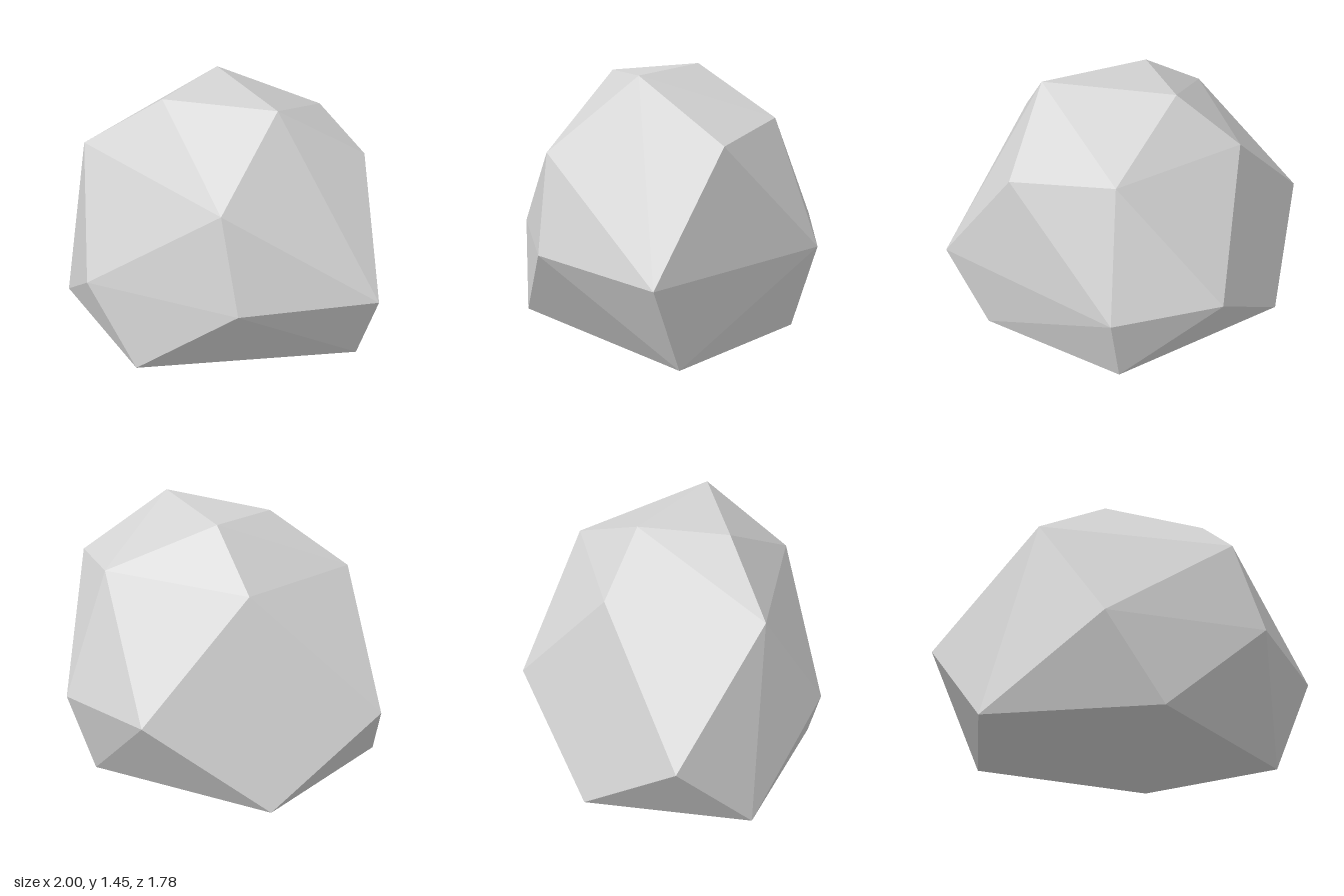
import * as THREE from 'three';
import { ConvexGeometry } from 'three/addons/geometries/ConvexGeometry.js';

// A faceted boulder: the convex skin around a few rings of corners, flat underneath.
export function createModel() {
  const group = new THREE.Group();
  group.name = 'boulder';

  const paleGrey = new THREE.MeshStandardMaterial({ color: 0xd4d4d4 });
  paleGrey.name = 'paleGrey';

  // Flat base
  const base = [
    [-0.945, 0, 0.085], [-0.30, 0, 0.762], [0.893, 0, 0.353],
    [0.61, 0, -0.51], [-0.47, 0, -0.735],
  ];
  // Widest ring
  const waist = [
    [-1, 0.49, -0.382], [-0.595, 0.465, 0.66], [0.303, 0.523, 0.89],
    [1, 0.49, 0.55], [0.73, 0.49, -0.587], [0.197, 0.515, -0.892],
  ];
  // Sloping shoulders
  const shoulder = [
    [-0.72, 1.107, 0.22], [0.19, 1.047, 0.787], [0.838, 1.132, 0.078],
    [0.53, 1.195, -0.415], [-0.29, 1.155, -0.517],
  ];
  // Crown
  const crown = [
    [-0.26, 1.407, 0.21], [0.393, 1.452, 0.342], [-0.055, 1.443, -0.248],
  ];

  const corners = [...base, ...waist, ...shoulder, ...crown]
    .map((p) => new THREE.Vector3(...p));
  const stone = new THREE.Mesh(new ConvexGeometry(corners), paleGrey);
  stone.name = 'stone';
  group.add(stone);
  return group;
}
